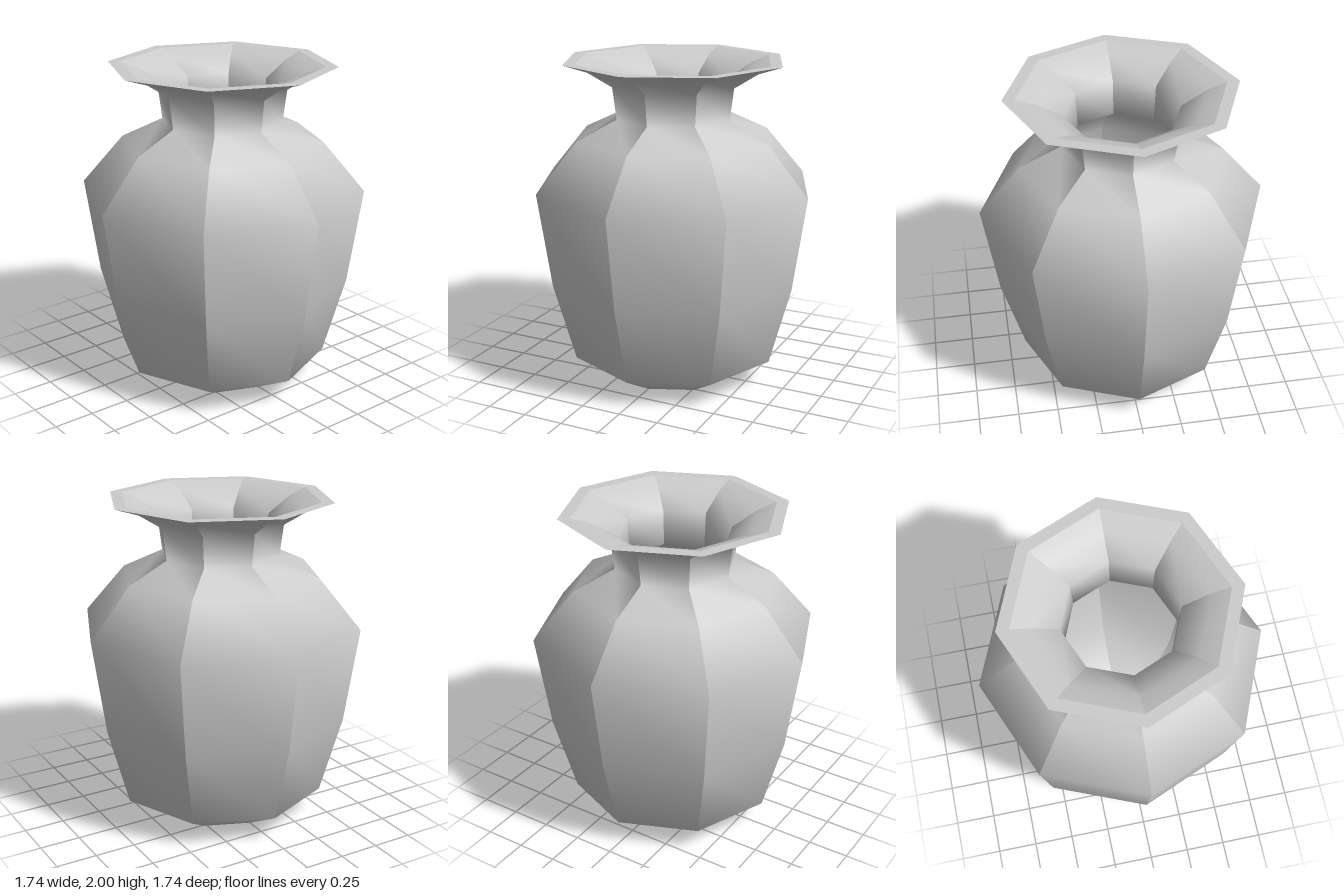
import * as THREE from 'three';
import { mergeGeometries } from 'three/addons/utils/BufferGeometryUtils.js';

const SIDES = 8;

// Eight panels around y, each smooth along its height with sharp edges between them
function facetedLathe(name, profile) {
  const points = profile.map(([r, y]) => new THREE.Vector2(r, y));
  const panels = [];
  const step = (Math.PI * 2) / SIDES;
  for (let i = 0; i < SIDES; i++) {
    const panel = new THREE.LatheGeometry(points, 1, i * step, step);
    panel.computeVertexNormals();
    panels.push(panel);
  }
  const mesh = new THREE.Mesh(
    mergeGeometries(panels),
    new THREE.MeshStandardMaterial({ color: 0xcccccc })
  );
  mesh.name = name;
  return mesh;
}

export function createModel() {
  const vase = new THREE.Group();
  vase.name = 'vase';

  // Outside: foot, belly, shoulder, neck and flared lip
  const outer = [
    [0.37, 0], [0.65, 0.16], [0.785, 0.65], [0.87, 1.24], [0.615, 1.54],
    [0.365, 1.66], [0.39, 1.855], [0.54, 1.95], [0.69, 2],
  ];
  // Inside, running from the lip down to the floor
  const inner = [
    [0.615, 2], [0.5, 1.96], [0.345, 1.865], [0.33, 1.65], [0.58, 1.515],
    [0.83, 1.23], [0.75, 0.65], [0.62, 0.185], [0.36, 0.04],
  ];

  vase.add(
    facetedLathe('base', [[0, 0], outer[0]]),
    facetedLathe('outerWall', outer),
    facetedLathe('rim', [outer.at(-1), inner[0]]),
    facetedLathe('innerWall', inner),
    facetedLathe('innerFloor', [inner.at(-1), [0, 0.04]])
  );
  return vase;
}
